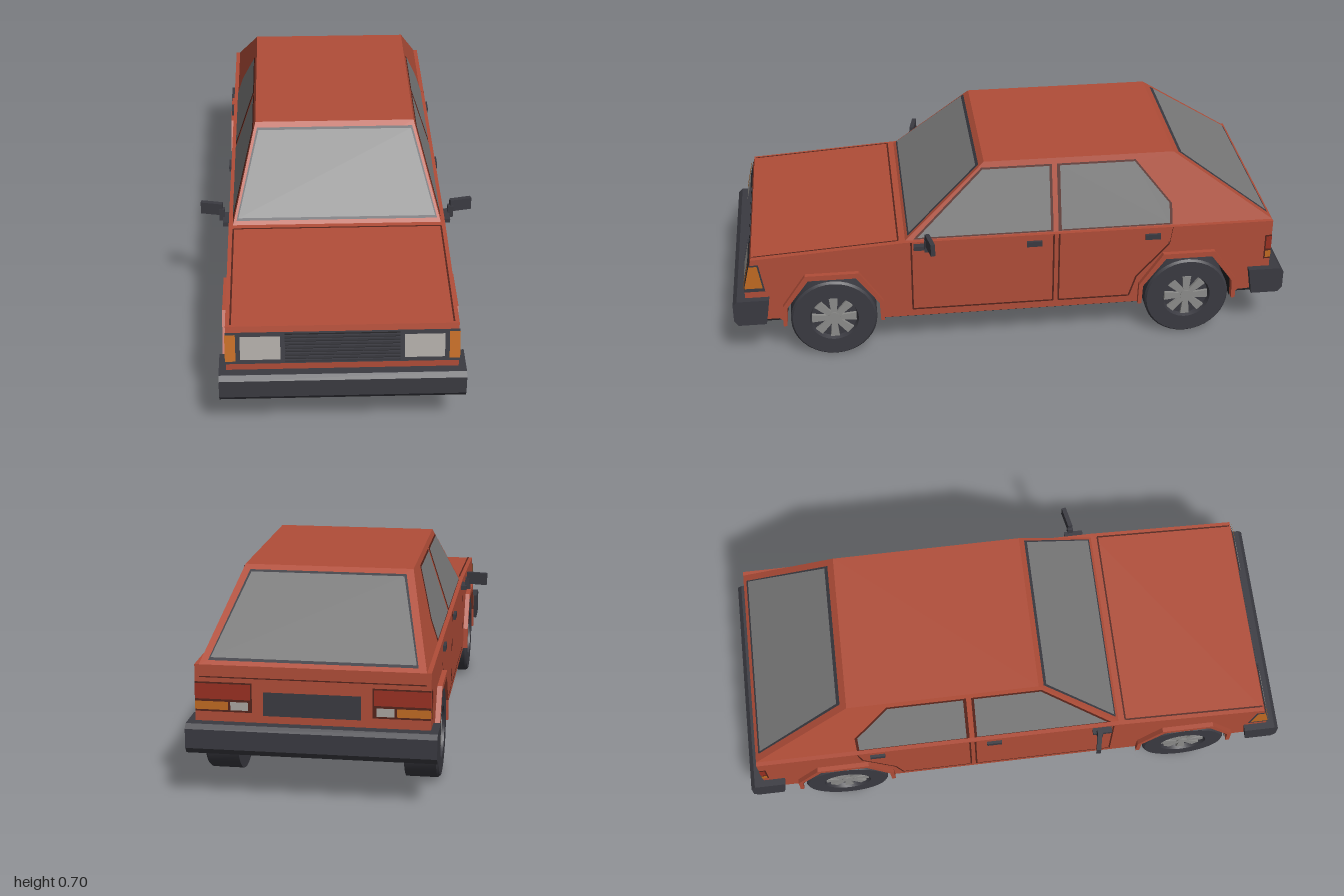
import * as THREE from 'three';
import { toCreasedNormals } from 'three/addons/utils/BufferGeometryUtils.js';

export function createModel() {
  const car = new THREE.Group();
  car.name = 'hatchback';
  const paint = (name, color) => {
    const m = new THREE.MeshStandardMaterial({ color });
    m.name = name;
    return m;
  };
  const red = paint('bodyRed', 0xb04d38);
  const seamRed = paint('seamDarkRed', 0x55241b);
  const glass = paint('glassGrey', 0x7a7a7a);
  const trim = paint('trimBlack', 0x3a3a41);
  const under = paint('underbodyBlack', 0x1f1f22);
  const lamp = paint('headlampWhite', 0xaaa6a1);
  const amber = paint('amber', 0xc06a22);
  const tailRed = paint('tailRed', 0x9a3022);
  const metal = paint('wheelMetal', 0x8c8c8a);

  const add = (name, geo, mat, parent = car) => {
    const m = new THREE.Mesh(geo, mat);
    m.name = name;
    parent.add(m);
    return m;
  };
  const box = (name, mat, size, pos, parent) => {
    const m = add(name, new THREE.BoxGeometry(...size), mat, parent);
    m.position.set(...pos);
    return m;
  };
  // Side profile of [z, y] points (with an optional hole), extruded across x
  const profile = (pts, width, hole) => {
    const v = (list) => list.map(([z, y]) => new THREE.Vector2(z, y));
    const shape = new THREE.Shape(v(pts));
    if (hole) shape.holes.push(new THREE.Path(v(hole)));
    return new THREE.ExtrudeGeometry(shape, { depth: width, bevelEnabled: false })
      .translate(0, 0, -width / 2).rotateY(-Math.PI / 2);
  };
  // Flat convex panel whose front looks towards "out"
  const plate = (name, mat, pts, out) => {
    const p = pts.map((a) => new THREE.Vector3(...a));
    const n = p[1].clone().sub(p[0]).cross(p[2].clone().sub(p[0]));
    if (n.dot(new THREE.Vector3(...out)) < 0) p.reverse();
    const tri = [];
    for (let i = 1; i < p.length - 1; i++) tri.push(p[0], p[i], p[i + 1]);
    const g = new THREE.BufferGeometry().setFromPoints(tri);
    g.computeVertexNormals();
    return add(name, g, mat);
  };
  // Panel, or thin line, drawn on a surface given by map(u, v)
  const on = (name, mat, map, pts, out) => plate(name, mat, pts.map(([u, v]) => map(u, v)), out);
  const rect = (u0, v0, u1, v1) => [[u0, v0], [u1, v0], [u1, v1], [u0, v1]];
  const seam = (name, map, pts, out, w = 0.003) => {
    for (let i = 0; i < pts.length - 1; i++) {
      const [a, b] = [pts[i], pts[i + 1]];
      const l = Math.hypot(b[0] - a[0], b[1] - a[1]);
      const [du, dv] = [-(b[1] - a[1]) / l * w, (b[0] - a[0]) / l * w];
      on(name, seamRed, map, [[a[0] + du, a[1] + dv], [b[0] + du, b[1] + dv],
        [b[0] - du, b[1] - dv], [a[0] - du, a[1] - dv]], out);
    }
  };

  // Body tub with wheel arch notches
  const W = 0.385, axleZ = 0.645;
  const arch = [[0.168, 0.14], [0.165, 0.215], [0.085, 0.325], [-0.085, 0.325], [-0.165, 0.215], [-0.168, 0.14]];
  const archAt = (z) => arch.map(([a, y]) => [z + a, y]);
  add('body', profile([[0.9, 0.165], [0.955, 0.25], [0.955, 0.285], [0.925, 0.415], [0.38, 0.45],
    [-0.95, 0.45], [-0.95, 0.17], [-0.84, 0.165],
    ...archAt(-axleZ).reverse(), ...archAt(axleZ).reverse(), [0.84, 0.165]], W * 2), red);

  // Cabin: sloped sides, windscreen, roof and hatch
  const corner = (s, top, front) => (top ? [s * 0.287, 0.705, front ? 0.09 : -0.59]
    : [s * 0.37, 0.45, front ? 0.38 : -0.95]);
  for (const s of [-1, 1]) {
    plate('cabinSide', red, [corner(s, 0, 1), corner(s, 0, 0), corner(s, 1, 0), corner(s, 1, 1)], [s, 0, 0]);
  }
  for (const f of [0, 1]) {
    plate(f ? 'windscreenFrame' : 'hatchFrame', red,
      [corner(-1, 0, f), corner(1, 0, f), corner(1, 1, f), corner(-1, 1, f)], [0, 1, f ? 1 : -1]);
  }
  plate('roof', red, [corner(-1, 1, 1), corner(1, 1, 1), corner(1, 1, 0), corner(-1, 1, 0)], [0, 1, 0]);

  // Surfaces that details lie on
  const sideMap = (s, off) => (z, y) => [s * ((y > 0.4501 ? 0.37 - (y - 0.45) * 0.3255 : W) + off), y, z];
  const screenMap = (off) => (x, y) => [x, y + off, 0.38 - (y - 0.45) * 1.137 + off];
  const hatchMap = (off) => (x, y) => [x, y + off, -0.95 + (y - 0.45) * 1.412 - off];
  const noseMap = (off) => (x, y) => [x, y, 0.925 + Math.min(0.415 - y, 0.13) * 0.231 + off];
  const tailMap = (off) => (x, y) => [x, y, -0.95 - off];
  const hoodMap = (x, z) => [x, 0.453 - (z - 0.38) * 0.0642, z];

  // Windscreen and rear window with dark seals
  const pane = (b, y0, t, y1) => [[-b, y0], [b, y0], [t, y1], [-t, y1]];
  on('windscreenSeal', trim, screenMap(0.002), pane(0.357, 0.46, 0.281, 0.69), [0, 1, 1]);
  on('windscreen', glass, screenMap(0.004), pane(0.35, 0.466, 0.276, 0.683), [0, 1, 1]);
  on('rearWindowSeal', trim, hatchMap(0.002), pane(0.342, 0.46, 0.266, 0.69), [0, 1, -1]);
  on('rearWindow', glass, hatchMap(0.004), pane(0.335, 0.466, 0.26, 0.683), [0, 1, -1]);

  // Bonnet shut lines
  seam('bonnetSeam', hoodMap, [[-0.368, 0.92], [-0.368, 0.405], [0.368, 0.405], [0.368, 0.92]], [0, 1, 0]);

  for (const s of [-1, 1]) {
    const out = [s, 0, 0];
    // Side windows
    const panes = [
      [[0.352, 0.453], [0.1, 0.686], [-0.151, 0.686], [-0.151, 0.453]],
      [[-0.169, 0.453], [-0.169, 0.686], [-0.452, 0.686], [-0.582, 0.527], [-0.582, 0.453]]];
    for (const p of panes) {
      const c = [p.reduce((t, q) => t + q[0], 0) / p.length, 0.57];
      on('sideWindowSeal', seamRed, sideMap(s, 0.002), p, out);
      on('sideWindow', glass, sideMap(s, 0.004),
        p.map(([z, y]) => [c[0] + (z - c[0]) * 0.95, c[1] + (y - c[1]) * 0.95]), out);
    }
    // Door shut lines and handles
    seam('frontDoorSeam', sideMap(s, 0.002), [[0.36, 0.45], [0.36, 0.17], [-0.15, 0.17], [-0.15, 0.45]], out);
    seam('rearDoorSeam', sideMap(s, 0.002),
      [[-0.17, 0.45], [-0.17, 0.17], [-0.43, 0.17], [-0.455, 0.25], [-0.57, 0.38], [-0.58, 0.45]], out);
    for (const z of [-0.08, -0.51]) box('doorHandle', trim, [0.014, 0.02, 0.055], [s * 0.388, 0.417, z]);

    // Door mirror
    box('mirrorBase', trim, [0.035, 0.016, 0.07], [s * 0.389, 0.435, 0.317]);
    box('mirrorStalk', trim, [0.02, 0.045, 0.02], [s * 0.41, 0.45, 0.305]);
    box('mirror', trim, [0.078, 0.046, 0.016], [s * 0.446, 0.472, 0.297]).rotation.y = s * 0.2;

    // Headlamp and indicator wrapping round the corner
    on('headlampSurround', trim, noseMap(0.004), rect(s * 0.195, 0.293, s * 0.347, 0.39), [0, 0, 1]);
    on('headlamp', lamp, noseMap(0.007), rect(s * 0.205, 0.302, s * 0.338, 0.383), [0, 0, 1]);
    on('frontIndicator', amber, noseMap(0.007), rect(s * 0.353, 0.297, s * 0.388, 0.39), [0, 0, 1]);
    on('frontIndicatorSeal', trim, sideMap(s, 0.002), [[0.958, 0.285], [0.93, 0.395], [0.9, 0.395], [0.882, 0.285]], out);
    on('frontIndicatorSide', amber, sideMap(s, 0.004), [[0.955, 0.3], [0.934, 0.39], [0.905, 0.39], [0.89, 0.3]], out);

    // Tail lamp cluster
    on('tailLampSeal', seamRed, tailMap(0.002), rect(s * 0.197, 0.293, s * 0.385, 0.393), [0, 0, -1]);
    on('tailLamp', tailRed, tailMap(0.004), rect(s * 0.202, 0.336, s * 0.385, 0.388), [0, 0, -1]);
    on('reverseLamp', lamp, tailMap(0.004), rect(s * 0.21, 0.3, s * 0.268, 0.328), [0, 0, -1]);
    on('rearIndicator', amber, tailMap(0.004), rect(s * 0.275, 0.3, s * 0.385, 0.328), [0, 0, -1]);
    on('tailLampSideSeal', seamRed, sideMap(s, 0.002), rect(-0.95, 0.293, -0.925, 0.393), out);
    on('tailLampSide', tailRed, sideMap(s, 0.004), rect(-0.95, 0.336, -0.93, 0.388), out);
    on('rearIndicatorSide', amber, sideMap(s, 0.004), rect(-0.95, 0.3, -0.93, 0.328), out);

    // Wheel arch flares
    const lip = [[0.182, 0.14], [0.18, 0.22], [0.095, 0.345], [-0.095, 0.345], [-0.18, 0.22], [-0.182, 0.14]];
    for (const z of [axleZ, -axleZ]) {
      const ring = [...lip, ...arch.slice().reverse()].map(([a, y]) => [z + a, y]);
      add('archFlare', profile(ring, 0.03), red).position.x = s * 0.387;
    }
  }

  // Grille
  on('grilleSurround', trim, noseMap(0.002), rect(-0.387, 0.285, 0.387, 0.395), [0, 0, 1]);
  on('grilleBack', under, noseMap(0.004), rect(-0.19, 0.29, 0.19, 0.39), [0, 0, 1]);
  for (let i = 0; i < 8; i++) {
    const y = 0.297 + i * 0.0122;
    box('grilleSlat', trim, [0.38, 0.007, 0.012], noseMap(0.004)(0, y));
  }
  // Number plate recess and hatch shut line
  on('plateRecess', trim, tailMap(0.003), rect(-0.16, 0.285, 0.16, 0.365), [0, 0, -1]);
  seam('hatchSeam', tailMap(0.003), [[-0.37, 0.41], [0.37, 0.41]], [0, 0, -1], 0.002);

  // Bumpers
  const bumper = [[0.87, 0.26], [0.985, 0.26], [1, 0.245], [1, 0.18], [0.985, 0.16], [0.885, 0.16]];
  add('frontBumper', profile(bumper, 0.82), trim);
  add('rearBumper', profile(bumper.map(([z, y]) => [-z, y]), 0.82), trim);
  box('frontValance', under, [0.39, 0.02, 0.06], [0, 0.162, 0.93]);

  // Underbody and wheel wells
  box('floor', under, [0.5, 0.16, 1.76], [0, 0.218, 0]);
  box('sillFloor', under, [0.76, 0.01, 0.94], [0, 0.141, 0]);
  for (const e of [1, -1]) {
    box('endFloor', under, [0.76, 0.02, 0.12], [0, 0.165, e * 0.88]);
    const line = archAt(e * axleZ);
    for (let i = 0; i < 5; i++) {
      const [[z0, y0], [z1, y1]] = [line[i], line[i + 1]].map(([z, y]) =>
        [z + (e * axleZ - z) * 0.02, y - (y - 0.14) * 0.02]);
      plate('wheelWell', under, [[-W, y0, z0], [W, y0, z0], [W, y1, z1], [-W, y1, z1]],
        [0, 0.15 - (y0 + y1) / 2, e * axleZ - (z0 + z1) / 2]);
    }
    box('axle', trim, [0.6, 0.05, 0.05], [0, 0.143, e * axleZ]);
  }

  // Wheels: tyre with dished centre, eight spokes and hub
  const tyre = toCreasedNormals(new THREE.LatheGeometry(
    [[0, -0.057], [0.155, -0.057], [0.155, 0.05], [0.148, 0.058], [0.088, 0.058], [0.082, 0.04], [0, 0.04]]
      .map(([r, x]) => new THREE.Vector2(r, x)), 36).rotateZ(-Math.PI / 2), 0.5);
  const spoke = profile([[-0.009, 0.01], [0.009, 0.01], [0.016, 0.08], [-0.016, 0.08]], 0.012);
  for (const s of [-1, 1]) for (const z of [axleZ, -axleZ]) {
    const wheel = new THREE.Group();
    wheel.name = 'wheel';
    wheel.position.set(s * 0.338, 0.155, z);
    if (s < 0) wheel.rotation.y = Math.PI;
    add('tyre', tyre, trim, wheel);
    for (let i = 0; i < 8; i++) {
      const m = add('spoke', spoke, metal, wheel);
      m.position.x = 0.044;
      m.rotation.x = i * Math.PI / 4;
    }
    add('hub', new THREE.CylinderGeometry(0.022, 0.022, 0.016, 16).rotateZ(Math.PI / 2), metal, wheel).position.x = 0.045;
    car.add(wheel);
  }
  return car;
}
